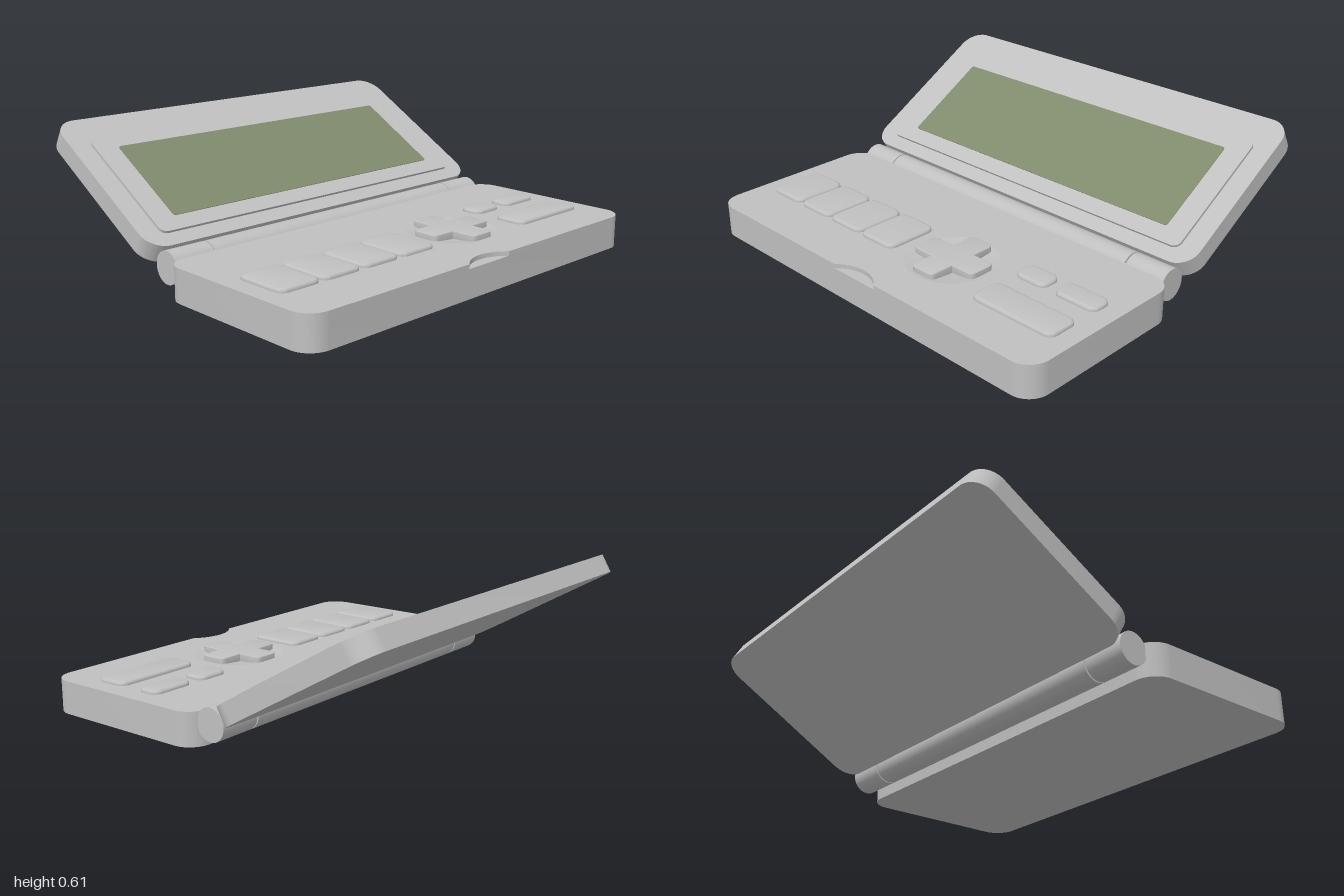
import * as THREE from 'three';
import { toCreasedNormals } from 'three/addons/utils/BufferGeometryUtils.js';

const shellGrey = new THREE.MeshStandardMaterial({ color: 0xc0c0c0 });
shellGrey.name = 'shell grey';
const dishGrey = shellGrey;
const screenGreen = new THREE.MeshStandardMaterial({ color: 0x808a6c });
screenGreen.name = 'screen green';

// Rounded rectangle; notch = true cuts a thumb scoop into the y0 edge
function roundRect(x0, y0, x1, y1, r, notch = false) {
  const s = new THREE.Shape();
  s.moveTo(x0 + r, y0);
  if (notch) {
    const R = 0.18, c = 0.127, a = Math.acos(Math.sqrt(R * R - c * c) / R);
    s.lineTo(-R * Math.cos(a), y0);
    s.absarc(0, y0 - c, R, Math.PI - a, a, true);
  }
  s.lineTo(x1 - r, y0);
  s.absarc(x1 - r, y0 + r, r, -Math.PI / 2, 0, false);
  s.lineTo(x1, y1 - r);
  s.absarc(x1 - r, y1 - r, r, 0, Math.PI / 2, false);
  s.lineTo(x0 + r, y1);
  s.absarc(x0 + r, y1 - r, r, Math.PI / 2, Math.PI, false);
  s.lineTo(x0, y0 + r);
  s.absarc(x0 + r, y0 + r, r, Math.PI, Math.PI * 1.5, false);
  return s;
}

// Extruded plate along local z from z0 to z1, with an optional softened top edge
function plate(name, shape, z0, z1, material, bevel = 0) {
  let geo = new THREE.ExtrudeGeometry(shape, {
    depth: z1 - z0 - bevel, curveSegments: 12, bevelEnabled: bevel > 0,
    bevelThickness: bevel, bevelSize: bevel, bevelOffset: -bevel, bevelSegments: 3,
  });
  geo.translate(0, 0, z0);
  geo = toCreasedNormals(geo, 0.6);
  const mesh = new THREE.Mesh(geo, material);
  mesh.name = name;
  return mesh;
}

export function createModel() {
  const model = new THREE.Group();
  model.name = 'foldingOrganizer';

  // Base: drawn in plan (local y = -z), extruded upwards
  const base = new THREE.Group();
  base.name = 'base';
  base.rotation.x = -Math.PI / 2;
  model.add(base);
  base.add(plate('lowerBase', roundRect(-1, -0.867, 1, -0.003, 0.1), 0, 0.13, shellGrey));
  const deck = roundRect(-1, -0.867, 1, -0.003, 0.1, true);
  const padX = 0.2, padY = -0.49, padR = 0.207;
  const hole = new THREE.Path();
  hole.absarc(padX, padY, padR, 0, Math.PI * 2, true);
  deck.holes.push(hole);
  base.add(plate('keyDeck', deck, 0.13, 0.15, shellGrey));

  // Shallow dish under the direction pad
  const dishPoints = [];
  for (let i = 0; i <= 8; i++) {
    const t = i / 8;
    dishPoints.push(new THREE.Vector2(padR * t, 0.132 + 0.018 * t * t));
  }
  const dish = new THREE.Mesh(new THREE.LatheGeometry(dishPoints, 48), dishGrey);
  dish.material.side = THREE.DoubleSide;
  dish.name = 'padDish';
  dish.position.set(padX, 0, -padY);
  model.add(dish);

  // Direction pad: a cross with rounded outer corners
  const L = 0.18, w = 0.064, r = 0.025;
  const cross = new THREE.Shape();
  const arm = [[w, w], [L, w, 0], [L, -w, 0], [w, -w]];
  for (let k = 0; k < 4; k++) {
    const turn = (x, y) => {
      const a = -k * Math.PI / 2, c = Math.cos(a), s = Math.sin(a);
      return [padX + x * c - y * s, padY + x * s + y * c];
    };
    if (k === 0) cross.moveTo(...turn(...arm[0]));
    cross.lineTo(...turn(L - r, w));
    cross.quadraticCurveTo(...turn(L, w), ...turn(L, w - r));
    cross.lineTo(...turn(L, r - w));
    cross.quadraticCurveTo(...turn(L, -w), ...turn(L - r, -w));
    if (k < 3) cross.lineTo(...turn(w, -w));
  }
  cross.closePath();
  base.add(plate('directionPad', cross, 0.131, 0.172, shellGrey, 0.004));

  // Keys: x0, x1, z0, z1
  const keys = [[0.481, 0.647, 0.3, 0.412], [0.695, 0.914, 0.3, 0.412], [0.481, 0.914, 0.505, 0.665]];
  for (let i = 0; i < 4; i++) {
    const x = -0.914 + i * 0.2175;
    keys.push([x, x + 0.21, 0.36, 0.623]);
  }
  keys.forEach(([x0, x1, z0, z1], i) =>
    base.add(plate(`key${i + 1}`, roundRect(x0, -z1, x1, -z0, 0.04), 0.14, 0.168, shellGrey, 0.012)));

  // Hinge barrel in three sections
  for (const [name, x0, x1] of [['hingeRight', -0.95, -0.752], ['hingeMiddle', -0.745, 0.745], ['hingeLeft', 0.752, 0.95]]) {
    const geo = new THREE.CylinderGeometry(0.073, 0.073, x1 - x0, 40);
    geo.rotateZ(Math.PI / 2);
    const barrel = new THREE.Mesh(geo, shellGrey);
    barrel.name = name;
    barrel.position.set((x0 + x1) / 2, 0.105, -0.05);
    model.add(barrel);
  }

  // Lid: local y runs up the slope, local z points out of the screen
  const lid = new THREE.Group();
  lid.name = 'lid';
  lid.position.set(0, 0.184, -0.084);
  lid.rotation.x = -Math.PI / 3;
  model.add(lid);
  lid.add(plate('lidShell', roundRect(-1, 0, 1, 0.853, 0.1), -0.09, 0, shellGrey));
  lid.add(plate('screenFrame', roundRect(-0.905, 0.069, 0.905, 0.7, 0.035), -0.005, 0.012, shellGrey));
  lid.add(plate('screen', roundRect(-0.797, 0.148, 0.797, 0.622, 0.012), 0.01, 0.0145, screenGreen));
  return model;
}
